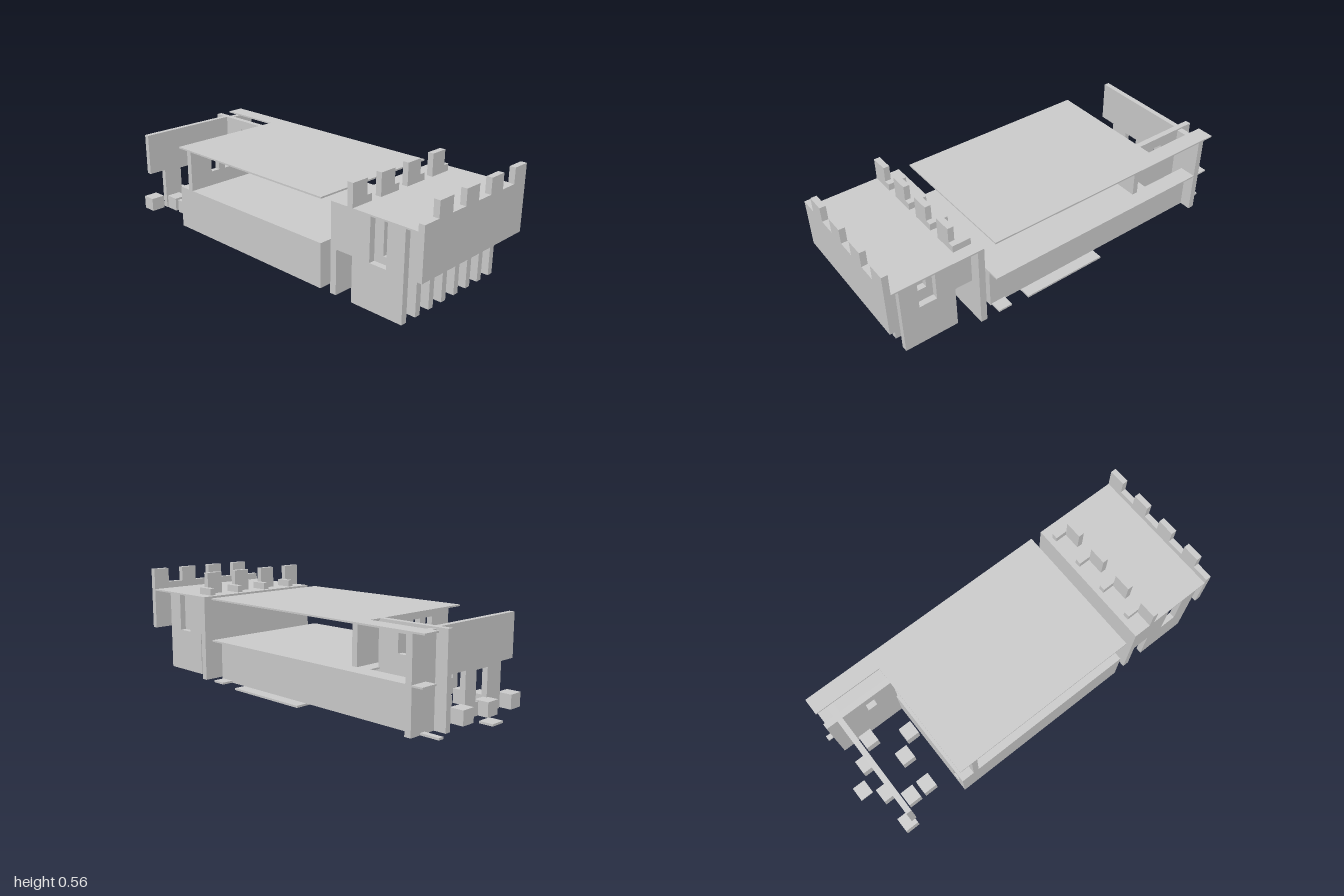
import * as THREE from 'three';

export function createModel() {
  const root = new THREE.Group();
  const stone = new THREE.MeshStandardMaterial({ color: 0xcccccc });
  stone.name = 'pale stone';

  const W = 0.364; // half width
  const G = 0.01, F = 0.23, R = 0.446; // ground, upper floor and roof heights

  const add = (name, geometry) => {
    const mesh = new THREE.Mesh(geometry, stone);
    mesh.name = name;
    root.add(mesh);
    return mesh;
  };

  // Box given by its limits on each axis
  const block = (name, x0, x1, y0, y1, z0, z1) =>
    add(name, new THREE.BoxGeometry(x1 - x0, y1 - y0, z1 - z0)
      .translate((x0 + x1) / 2, (y0 + y1) / 2, (z0 + z1) / 2));

  const polygon = (points) => new THREE.Shape(points.map(([a, b]) => new THREE.Vector2(a, b)));
  const rect = (a0, a1, b0, b1) => polygon([[a0, b0], [a1, b0], [a1, b1], [a0, b1]]);

  // Wall facing z, outline in x and y
  const crossWall = (name, shape, z0, z1, holes = []) => {
    shape.holes = holes.map((h) => rect(...h));
    const g = new THREE.ExtrudeGeometry(shape, { depth: z1 - z0, bevelEnabled: false });
    return add(name, g.translate(0, 0, z0));
  };

  // Wall facing x, outline in z and y
  const sideWall = (name, shape, x0, x1, holes = []) => {
    shape.holes = holes.map((h) => rect(...h));
    const g = new THREE.ExtrudeGeometry(shape, { depth: x1 - x0, bevelEnabled: false });
    return add(name, g.rotateY(-Math.PI / 2).translate(x1, 0, 0));
  };

  // Flat slab, outline in x and z
  const slab = (name, points, y0, y1) => {
    const shape = polygon(points.map(([x, z]) => [x, -z]));
    const g = new THREE.ExtrudeGeometry(shape, { depth: y1 - y0, bevelEnabled: false });
    return add(name, g.rotateX(-Math.PI / 2).translate(0, y0, 0));
  };

  // --- Gatehouse ---
  const step = (2 * W) / 8;
  // Front parapet, a merlon on every second step
  const crest = [[-W, F], [W, F]];
  for (let i = 7; i >= 0; i--) {
    const top = i % 2 ? 0.557 : 0.481;
    crest.push([-W + (i + 1) * step, top], [-W + i * step, top]);
  }
  crossWall('frontParapet', polygon(crest), 0.97, 1);
  block('gatehouseRoof', -W, W, R - 0.008, R, 0.512, 0.97);
  block('gatehouseBackWall', -W, W, G, R - 0.008, 0.512, 0.545);

  for (let i = 0; i < 8; i++) {
    const x = -W + i * step;
    // Rib with a low doorway behind and a window notch under the roof
    sideWall('gatehouseRib', polygon([
      [0.635, G], [0.91, G], [0.91, R - 0.008], [0.82, R - 0.008], [0.82, F],
      [0.73, F], [0.73, R - 0.008], [0.545, R - 0.008], [0.545, F], [0.635, F],
    ]), x, x + 0.031);
    if (i % 2) block('merlonStep', x, x + 0.031, R, 0.481, 0.54, 0.633);
    else block('rearMerlon', x, x + step, R, 0.557, 0.603, 0.633);
  }

  // --- Main hall ---
  // Floor and roof share a strip that runs on along the left side
  const plate = (end) => [[-W, 0.452], [-W, -0.557], [0.275, -0.557], [0.275, end], [W, end], [W, 0.452]].reverse();
  slab('hallRoof', plate(-0.92), R - 0.008, R);
  slab('upperFloor', plate(-0.915), F - 0.008, F);

  block('hallFrontWall', -W, 0.305, G, F - 0.008, 0.421, 0.452);
  block('hallRightWall', -W, -W + 0.031, G, F - 0.008, -0.557, 0.421);
  block('hallLeftWall', 0.275, 0.305, G, F - 0.008, -0.83, 0.421);
  crossWall('hallBackWall', rect(-W + 0.031, 0.183, G, F - 0.008), -0.557, -0.527,
    [[-0.325, -0.28, 0.09, 0.195]]);
  crossWall('upperCrossWall', rect(-W, 0.285, F, R - 0.008), -0.49, -0.46,
    [[-0.235, -0.185, 0.305, 0.395], [-0.145, -0.095, 0.305, 0.395], [0.04, 0.09, 0.305, 0.395]]);

  // --- Rear court ---
  sideWall('corridorWall', rect(-0.92, -0.55, G, R), 0.183, 0.213,
    [[-0.71, -0.66, 0.305, 0.395]]);
  block('rearUpperWall', -W, 0.183, F, R, -0.86, -0.832);
  block('rearSideWall', 0.213, W, G, R - 0.008, -0.86, -0.827);
  crossWall('rearLowerWall', rect(-0.27, 0, G, F), -0.86, -0.832,
    [[-0.165, -0.08, 0.075, 0.22]]);

  // Stone blocks scattered about the court: x and z of the low corner
  const stones = [
    [-0.36, -0.912], [-0.177, -0.912], [0.005, -0.912], [-0.267, -0.825], [0.1, -0.825],
    [-0.267, -0.73], [-0.085, -0.73], [0.005, -0.64],
  ];
  for (const [x, z] of stones) block('stoneBlock', x, x + 0.076, G, 0.08, z, z + 0.072);

  // --- Ground plates ---
  block('pavingPlate', 0.09, W, 0, 0.01, -0.187, 0.272);
  block('leftStepPlate', 0.275, W, 0.01, 0.02, 0.37, 0.443);
  block('rearPlate', -0.085, -0.008, 0.01, 0.02, -1, -0.93);
  block('rearStepPlate', 0.275, 0.303, 0.01, 0.02, -0.955, -0.86);

  return root;
}
